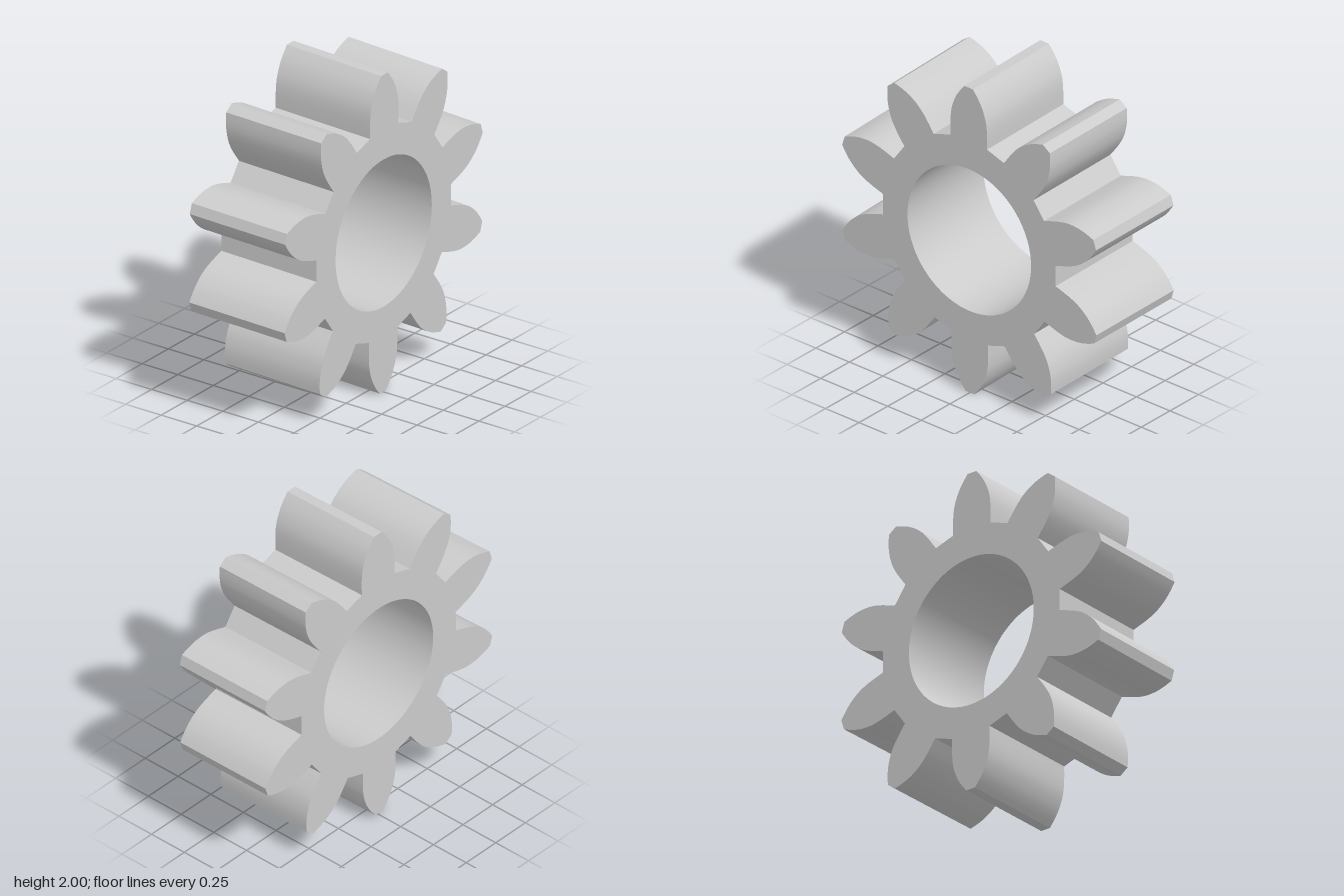
import * as THREE from 'three';
import { toCreasedNormals } from 'three/addons/utils/BufferGeometryUtils.js';

const TEETH = 10;
const BORE = 0.461;
const DEPTH = 0.662;

// Right flank of the upright tooth, root to tip: [half width, distance from axis]
function toothFlank() {
  const curve = new THREE.SplineCurve([
    [0.137, 0.637], [0.137, 0.74], [0.127, 0.82], [0.1, 0.893], [0.068, 0.946], [0.032, 0.9915],
  ].map(([x, y]) => new THREE.Vector2(x, y)));
  return curve.getPoints(16);
}

function gearShape() {
  const right = toothFlank();
  const left = right.map((p) => new THREE.Vector2(-p.x, p.y)).reverse();
  const tooth = [...right, ...left];
  const outline = [];
  const origin = new THREE.Vector2();
  for (let i = 0; i < TEETH; i++) {
    const angle = (i / TEETH) * Math.PI * 2;
    for (const p of tooth) outline.push(p.clone().rotateAround(origin, angle));
  }
  const shape = new THREE.Shape(outline);
  shape.holes.push(new THREE.Path().absarc(0, 0, BORE, 0, Math.PI * 2, true));
  return shape;
}

export function createModel() {
  const group = new THREE.Group();
  group.name = 'spurGear';

  let geometry = new THREE.ExtrudeGeometry(gearShape(), {
    depth: DEPTH, bevelEnabled: false, curveSegments: 64,
  });
  geometry.translate(0, 0, -DEPTH / 2);

  // Slight lean of the axis and faces, with the teeth a touch wider at the back
  const pos = geometry.attributes.position;
  for (let i = 0; i < pos.count; i++) {
    const x = pos.getX(i), y = pos.getY(i), z = pos.getZ(i);
    const taper = Math.hypot(x, y) > 0.55 ? 1 - 0.018 * z : 1;
    pos.setXYZ(i, x * taper, 1 + y - 0.0257 * z, z + 0.006 * y);
  }
  geometry = toCreasedNormals(geometry, 0.5);

  const gear = new THREE.Mesh(geometry, new THREE.MeshStandardMaterial({ color: 0xcccccc }));
  gear.name = 'gearBody';
  group.add(gear);
  return group;
}
